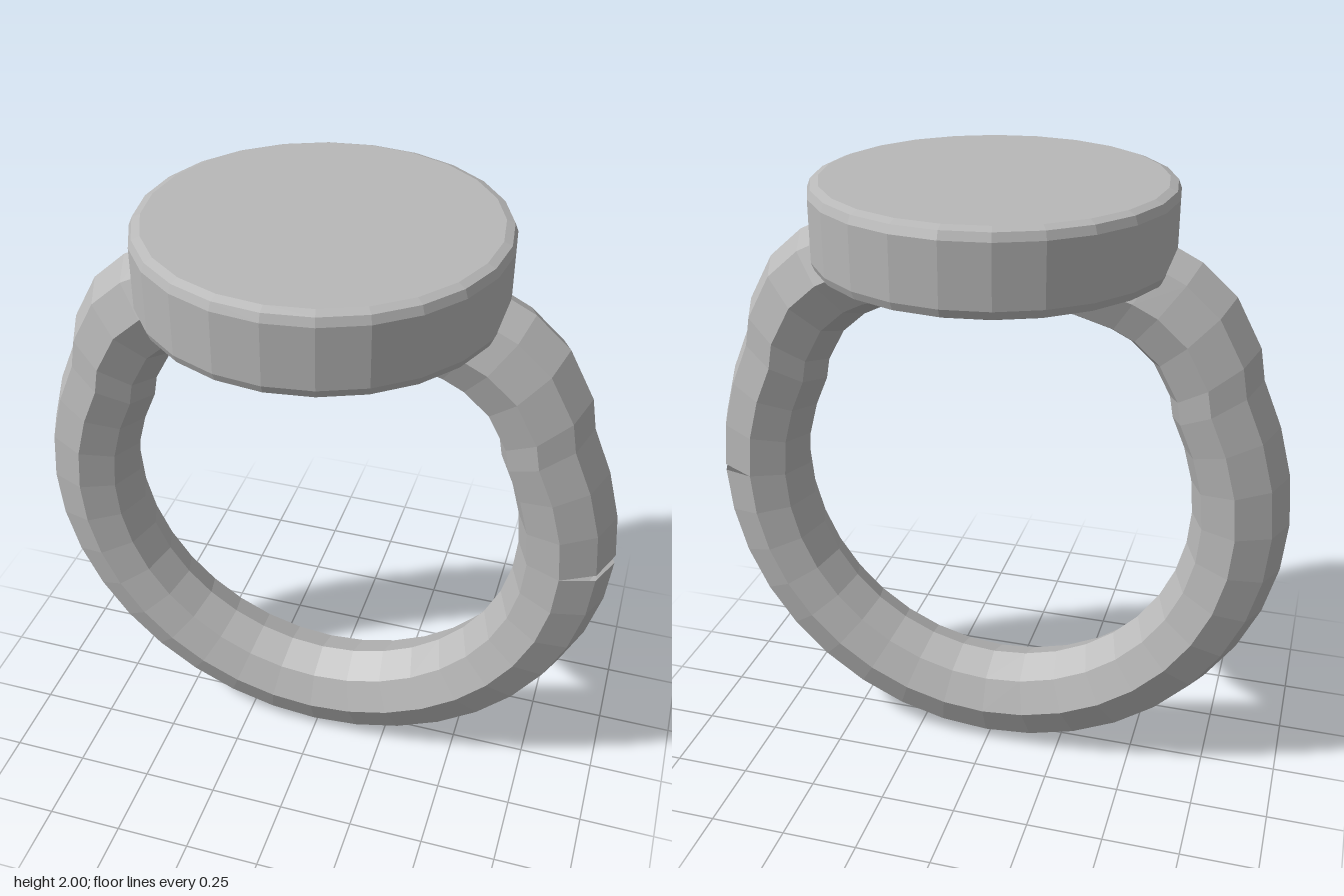
import * as THREE from 'three';

const CENTER_Y = 0.965; // centre of the finger hole
const RING_R = 0.807;
const TUBE_R = 0.153;

// Facet a geometry so every face is flat
function faceted(geometry) {
  const g = geometry.toNonIndexed();
  g.computeVertexNormals();
  return g;
}

// Stations around the band: [degrees, swelling]; the shoulders swell near the top
function bandStations() {
  const quarter = [[0, 1], [10, 1], [20, 1], [29.5, 1.005], [35, 1.045], [44.5, 1.08],
    [52.5, 1.08], [58, 1.065], [68, 1.03], [79, 1.01], [90, 1]];
  const mirrored = quarter.slice(0, -1).reverse().map(([a, s]) => [180 - a, s]);
  const lower = [];
  for (let a = 190; a <= 360; a += 10) lower.push([a, 1]);
  return [...quarter, ...mirrored, ...lower];
}

// Eight-sided band, split open on the outside of its seam
function bandGeometry() {
  const stations = bandStations();
  const steps = stations.length - 1;
  const sides = 8;
  const g = new THREE.TorusGeometry(RING_R, TUBE_R, sides, steps);
  const pos = g.attributes.position;
  for (let j = 0; j <= sides; j++) {
    const phi = (j / sides) * Math.PI * 2;
    const open = Math.max(0, Math.cos(phi)) * 0.015;
    stations.forEach(([deg, swell], i) => {
      const a = THREE.MathUtils.degToRad(deg);
      const r = (RING_R + TUBE_R * Math.cos(phi)) * swell;
      const gap = i === 0 ? open : i === steps ? -open : 0;
      pos.setXYZ(j * (steps + 1) + i, r * Math.cos(a), r * Math.sin(a) + gap, TUBE_R * Math.sin(phi));
    });
  }
  return faceted(g);
}

// Round top plate with softened rims
function plateGeometry() {
  const profile = [
    [0, 1.74], [0.52, 1.74], [0.545, 1.75], [0.555, 1.775],
    [0.555, 1.965], [0.545, 1.99], [0.52, 2], [0, 2],
  ].map(([r, y]) => new THREE.Vector2(r, y));
  return faceted(new THREE.LatheGeometry(profile, 24));
}

export function createModel() {
  const metal = new THREE.MeshStandardMaterial({ color: 0xb8b8b8, side: THREE.DoubleSide });
  metal.name = 'grey metal';

  const group = new THREE.Group();
  group.name = 'signetRing';

  const band = new THREE.Mesh(bandGeometry(), metal);
  band.name = 'band';
  band.position.y = CENTER_Y;

  const plate = new THREE.Mesh(plateGeometry(), metal);
  plate.name = 'topPlate';

  group.add(band, plate);
  return group;
}
